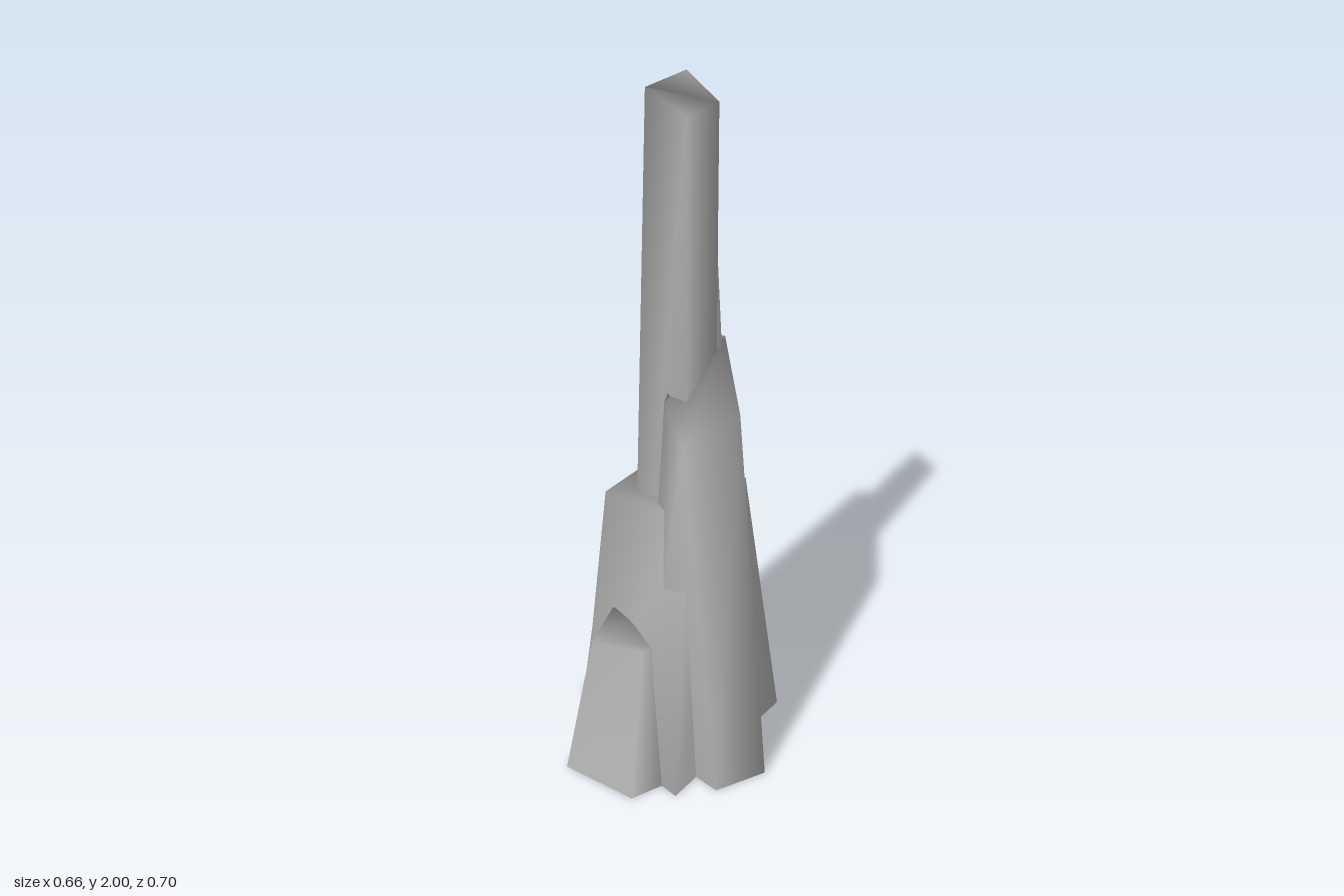
import * as THREE from 'three';

const stone = new THREE.MeshStandardMaterial({ color: 0xb0b0b0, side: THREE.DoubleSide });
stone.name = 'grey stone';

// Tapered crystal column, open below: ring of [base x, base z, top x, top y, top z]
function column(name, ring) {
  const n = ring.length;
  let area = 0;
  ring.forEach((p, i) => {
    const q = ring[(i + 1) % n];
    area += p[0] * q[1] - q[0] * p[1];
  });
  const pts = area > 0 ? [...ring].reverse() : ring;

  const positions = [];
  pts.forEach(p => positions.push(p[0], 0, p[1]));
  pts.forEach(p => positions.push(p[2], p[3], p[4]));

  const index = [];
  for (let i = 0; i < n; i++) {
    const j = (i + 1) % n;
    index.push(i, j, n + j, i, n + j, n + i);
  }
  // slanted cap
  for (let i = 1; i < n - 1; i++) index.push(n, n + i, n + i + 1);

  const geometry = new THREE.BufferGeometry();
  geometry.setAttribute('position', new THREE.Float32BufferAttribute(positions, 3));
  geometry.setIndex(index);
  geometry.computeVertexNormals();
  const mesh = new THREE.Mesh(geometry, stone);
  mesh.name = name;
  return mesh;
}

export function createModel() {
  const group = new THREE.Group();
  group.name = 'rockSpire';

  group.add(
    // tall centre
    column('centralSpire', [
      [-0.11, 0.085, -0.04, 2.0, 0.075],
      [0.08, 0.065, 0.07, 1.95, 0.06],
      [0.08, -0.065, 0.07, 1.95, -0.065],
      [-0.08, -0.08, -0.04, 2.0, -0.08],
    ]),
    // second tallest, leaning in from behind
    column('backColumn', [
      [-0.235, -0.175, -0.12, 1.48, -0.13],
      [0.03, -0.285, -0.035, 1.55, -0.162],
      [0.13, -0.13, 0.062, 1.64, -0.07],
      [0.05, 0.05, 0.03, 1.58, 0.02],
      [-0.1, 0.06, -0.055, 1.5, 0.01],
    ]),
    // broad shoulder on the +x side
    column('sideColumn', [
      [0.328, 0.01, 0.2, 1.17, 0],
      [0.26, 0.155, 0.135, 1.12, 0.155],
      [-0.03, 0.13, 0.02, 1.18, 0.085],
      [-0.03, -0.08, 0.0, 1.33, -0.05],
      [0.13, -0.2, 0.07, 1.31, -0.105],
    ]),
    // square block through the middle
    column('middleBlock', [
      [-0.22, 0.19, -0.16, 0.845, 0.12],
      [0.182, 0.245, 0.13, 0.88, 0.12],
      [0.182, -0.258, 0.13, 0.88, -0.13],
      [-0.22, -0.205, -0.16, 0.845, -0.13],
    ]),
    // low buttresses
    column('outerButtress', [
      [-0.33, -0.11, -0.325, 0.55, -0.06],
      [-0.325, 0.065, -0.25, 0.58, 0.035],
      [-0.1, 0.19, -0.1, 0.66, 0.06],
      [-0.12, -0.21, -0.12, 0.66, -0.145],
    ]),
    column('backButtress', [
      [-0.115, -0.34, -0.06, 0.55, -0.265],
      [0.01, -0.352, 0.03, 0.56, -0.275],
      [0.13, -0.225, 0.1, 0.55, -0.225],
      [0.06, -0.1, 0.04, 0.55, -0.14],
      [-0.155, -0.15, -0.055, 0.55, -0.16],
    ]),
    column('frontButtress', [
      [-0.14, 0.35, -0.08, 0.465, 0.285],
      [0.09, 0.33, 0.03, 0.425, 0.2],
      [0.14, 0.2, 0.045, 0.42, 0.14],
      [-0.05, 0.1, -0.05, 0.47, 0.1],
      [-0.175, 0.18, -0.115, 0.485, 0.155],
    ]),
  );
  return group;
}
